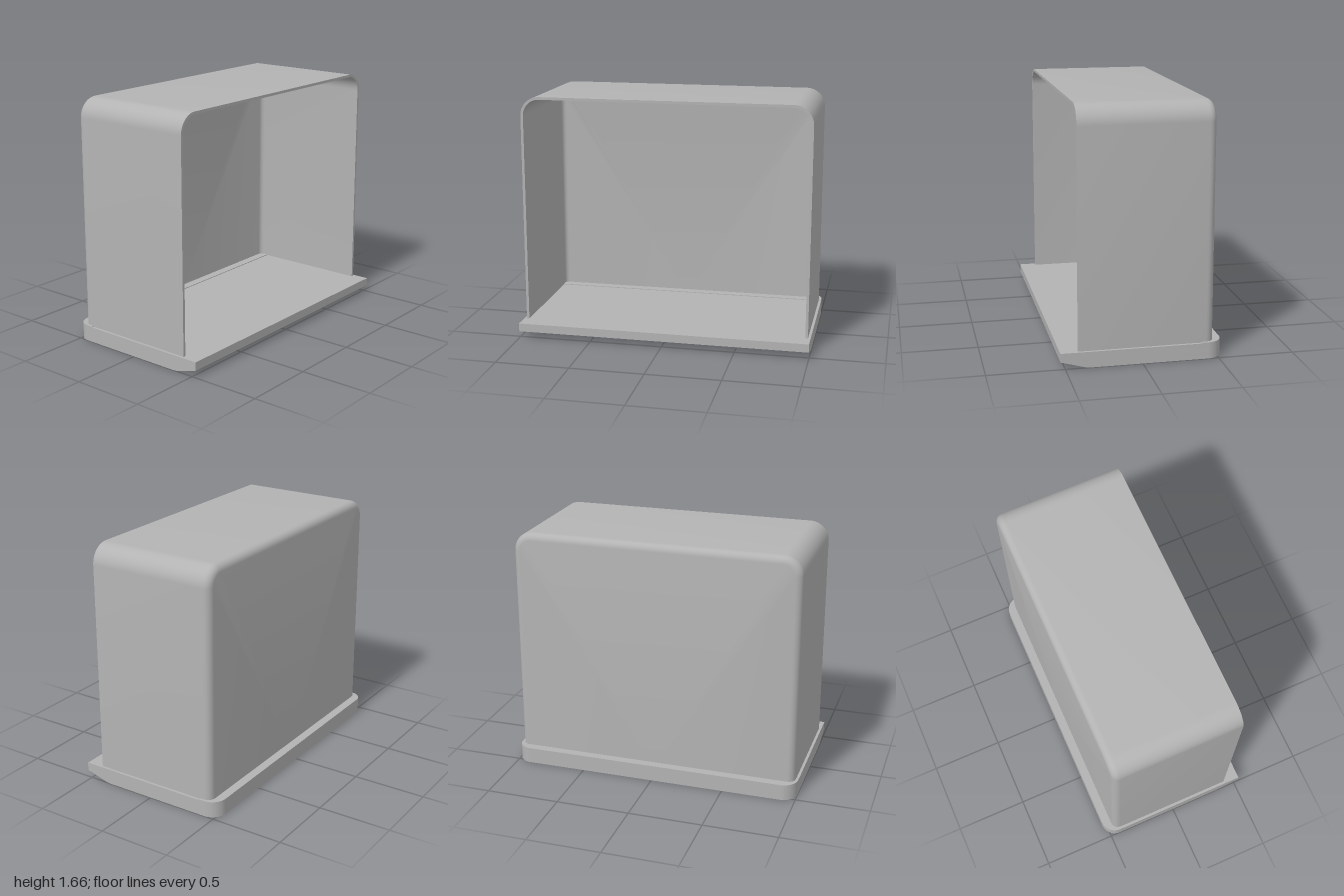
import * as THREE from 'three';
import { toCreasedNormals } from 'three/addons/utils/BufferGeometryUtils.js';

const grey = new THREE.MeshStandardMaterial({ color: 0xb3b3b3 });
grey.name = 'grey plastic';

function addMesh(group, name, geometry) {
  const mesh = new THREE.Mesh(toCreasedNormals(geometry, 0.5), grey);
  mesh.name = name;
  group.add(mesh);
}

// Horizontal slab from a plan shape drawn in (x, -z)
function slab(shape, y0, y1) {
  return new THREE.ExtrudeGeometry(shape, { depth: y1 - y0, bevelEnabled: false, curveSegments: 12 })
    .rotateX(-Math.PI / 2).translate(0, y0, 0);
}

// Base plan: back corners rounded, straight front edge
function plan(zFront, zBack, hole) {
  const r = 0.1, s = new THREE.Shape();
  s.moveTo(-1, -zFront);
  s.lineTo(1, -zFront);
  s.lineTo(1, -zBack - r);
  s.absarc(1 - r, -zBack - r, r, 0, Math.PI / 2);
  s.lineTo(-1 + r, -zBack);
  s.absarc(-1 + r, -zBack - r, r, Math.PI / 2, Math.PI);
  s.closePath();
  if (hole) {
    const [hx, z0, z1] = hole;
    s.holes.push(new THREE.Path([[-hx, -z0], [hx, -z0], [hx, -z1], [-hx, -z1]]
      .map(([x, y]) => new THREE.Vector2(x, y))));
  }
  return s;
}

function polygon(points) {
  return new THREE.Shape(points.map(([x, y]) => new THREE.Vector2(x, y)));
}

// Arch outline (right angle corners rounded at the top) shrunk by an inset
function arch(z, inset) {
  const w = 0.982, top = 1.665, r = 0.13, steps = 12, bottom = 0.06;
  const pts = [[w - inset, bottom, z]];
  for (const side of [1, -1]) {
    for (let i = 0; i <= steps; i++) {
      const a = (i / steps + (side < 0 ? 1 : 0)) * Math.PI / 2;
      pts.push([side * (w - r) + Math.cos(a) * (r - inset), top - r + Math.sin(a) * (r - inset), z]);
    }
  }
  pts.push([-w + inset, bottom, z]);
  return pts;
}

// Thin open-fronted hood lofted from the inner back, round the rim, to the outer back
function hoodGeometry() {
  const front = 0.415, back = -0.47, wall = 0.018, r = 0.05, steps = 6;
  const rings = [];
  const round = (offset, i) => {
    const a = (i / steps) * Math.PI / 2, q = r - offset;
    return arch(back + r - Math.sin(a) * q, offset + q * (1 - Math.cos(a)));
  };
  const centre = (z) => arch(z, 0).map(() => [0, 0.06, z]);
  rings.push(centre(back + wall));
  for (let i = steps; i >= 0; i--) rings.push(round(wall, i));
  rings.push(arch(front, wall), arch(front, 0));
  for (let i = 0; i <= steps; i++) rings.push(round(0, i));
  rings.push(centre(back));

  const n = rings[0].length, index = [];
  for (let i = 0; i < rings.length - 1; i++) {
    for (let j = 0; j < n - 1; j++) {
      const a = i * n + j, b = a + n;
      index.push(a, b, b + 1, a, b + 1, a + 1);
    }
  }
  const g = new THREE.BufferGeometry();
  g.setAttribute('position', new THREE.Float32BufferAttribute(rings.flat(2), 3));
  g.setIndex(index);
  return g;
}

export function createModel() {
  const model = new THREE.Group();
  model.name = 'openFrontedHousing';
  addMesh(model, 'hood', hoodGeometry());

  // Base plate in layers, with a stepped recess underneath
  const base = new THREE.Group();
  base.name = 'base';
  model.add(base);
  const noseZ = 0.34, backZ = -0.53, skin = 0.006, deep = 0.045;
  addMesh(base, 'baseUnderside', slab(plan(noseZ, backZ, [0.285, 0.15, -0.1]), 0, skin));
  addMesh(base, 'baseCore', slab(plan(noseZ, backZ, [0.255, 0.12, -0.04]), skin, deep));
  addMesh(base, 'floor', slab(plan(noseZ, backZ), deep, 0.105));
  addMesh(base, 'rearLedge', slab(plan(-0.39, backZ), 0.105, 0.11));

  // Front lip with its sloping underside
  const lip = polygon([[noseZ, 0], [0.37, 0.003], [0.4, 0.012], [0.53, 0.048], [0.53, 0.105], [noseZ, 0.105]]);
  addMesh(base, 'frontLip', new THREE.ExtrudeGeometry(lip, { depth: 2, bevelEnabled: false })
    .rotateY(-Math.PI / 2).translate(1, 0, 0));

  // Ramp at one end of the recess
  const ramp = polygon([[0.255, skin], [0.255, deep], [0.13, deep]]);
  addMesh(base, 'recessRamp', new THREE.ExtrudeGeometry(ramp, { depth: 0.16, bevelEnabled: false })
    .translate(0, 0, -0.04));
  return model;
}
